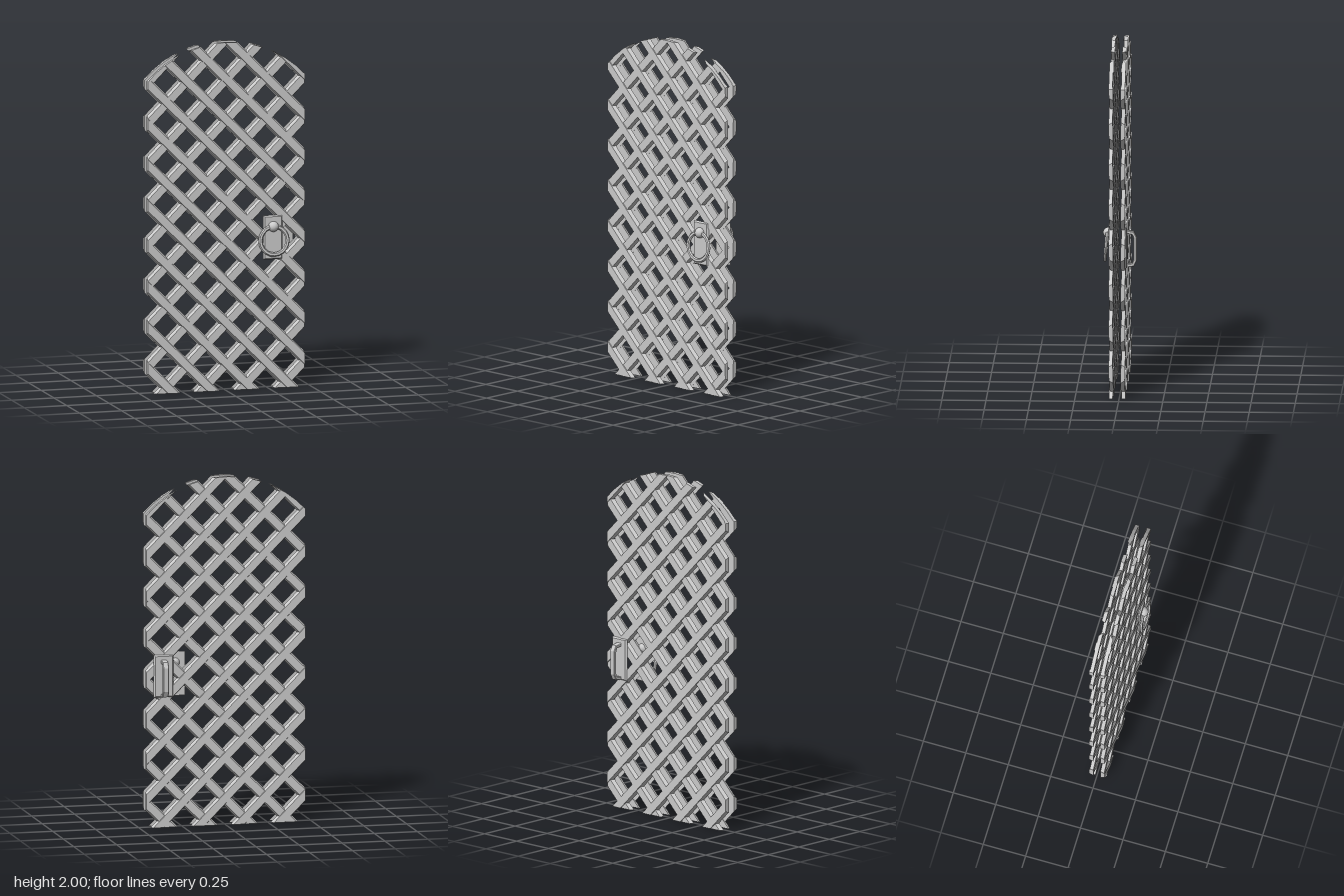
import * as THREE from 'three';
import { ConvexGeometry } from 'three/addons/geometries/ConvexGeometry.js';

const HALF_W = 0.463, ARCH_R = 0.629, TOP = 2;
const PITCH = 0.2335, WIDE = 0.062, NARROW = 0.044;
const MIRROR_Z = 0.0115; // plane halfway between the two lattice panels

const material = new THREE.MeshStandardMaterial({ color: 0xcccccc, flatShading: true, side: THREE.DoubleSide });
const smooth = new THREE.MeshStandardMaterial({ color: 0xcccccc });

function add(parent, name, geometry, mat = material) {
  const mesh = new THREE.Mesh(geometry, mat);
  mesh.name = name;
  parent.add(mesh);
  return mesh;
}

// Arched door outline, counter-clockwise
function outline() {
  const pts = [[-HALF_W, 0], [HALF_W, 0]];
  const a = Math.asin(HALF_W / ARCH_R);
  for (let i = 0; i <= 14; i++) {
    const t = a - (2 * a * i) / 14;
    pts.push([ARCH_R * Math.sin(t), TOP - ARCH_R + ARCH_R * Math.cos(t)]);
  }
  return pts;
}

// Keep the part of a polygon where nx*x + ny*y <= d
function clip(poly, nx, ny, d) {
  const out = [];
  poly.forEach((p, i) => {
    const q = poly[(i + 1) % poly.length];
    const a = nx * p[0] + ny * p[1] - d, b = nx * q[0] + ny * q[1] - d;
    if (a <= 0) out.push(p);
    if (a * b < 0) {
      const t = a / (a - b);
      out.push([p[0] + t * (q[0] - p[0]), p[1] + t * (q[1] - p[1])]);
    }
  });
  return out;
}

// Solid between one outline at z0 and another at z1
function frustum(base, z0, face, z1) {
  return new ConvexGeometry([
    ...base.map(p => new THREE.Vector3(p[0], p[1], z0)),
    ...face.map(p => new THREE.Vector3(p[0], p[1], z1)),
  ]);
}

function rect(x, y, w, h) {
  return [[x - w / 2, y - h / 2], [x + w / 2, y - h / 2], [x + w / 2, y + h / 2], [x - w / 2, y + h / 2]];
}

// One panel of crossed, bevelled slats trimmed to the arch
function lattice(name, toZ) {
  const group = new THREE.Group();
  group.name = name;
  const door = outline(), r = Math.SQRT1_2;
  const directions = [
    { sx: 1, start: -0.31, z0: 0.036, z1: 0.058, label: 'fallingSlat' },
    { sx: -1, start: 0.38, z0: 0.032, z1: 0.054, label: 'risingSlat' },
  ];
  for (const { sx, start, z0, z1, label } of directions) {
    const strip = (c, w) => clip(clip(door, sx * r, r, c * r + w / 2), -sx * r, -r, -c * r + w / 2);
    for (let k = -4; k < 12; k++) {
      const c = start + k * PITCH;
      const base = strip(c, WIDE), face = strip(c, NARROW);
      if (base.length > 2 && face.length > 2) add(group, label, frustum(base, toZ(z0), face, toZ(z1)));
    }
  }
  return group;
}

export function createModel() {
  const model = new THREE.Group();
  model.name = 'latticeDoor';
  model.add(lattice('frontLattice', z => z));
  model.add(lattice('backLattice', z => 2 * MIRROR_Z - z));

  // Front ring pull
  const pull = new THREE.Group();
  pull.name = 'ringPull';
  model.add(pull);
  const px = 0.275;
  add(pull, 'frontPlate', frustum(rect(px, 0.867, 0.116, 0.254), 0.054, rect(px, 0.867, 0.1, 0.238), 0.064));
  const ring = add(pull, 'ring', new THREE.TorusGeometry(0.08, 0.0125, 6, 20));
  ring.position.set(px, 0.852, 0.079);
  ring.rotation.x = -0.08;
  ring.scale.z = 0.75;
  const knob = add(pull, 'knob', new THREE.SphereGeometry(0.03, 16, 10), smooth);
  knob.position.set(px, 0.93, 0.067);

  // Rear grip
  const grip = new THREE.Group();
  grip.name = 'rearHandle';
  model.add(grip);
  const gx = 0.363;
  add(grip, 'rearPlate', frustum(rect(gx, 0.87, 0.114, 0.245), -0.033, rect(gx, 0.87, 0.098, 0.229), -0.042));

  // Bent bar: outer bracket then inner bracket, in (z, y)
  const bar = new THREE.Shape([
    [-0.035, 0.965], [-0.082, 0.957], [-0.098, 0.925], [-0.098, 0.79], [-0.082, 0.757], [-0.035, 0.75],
    [-0.035, 0.768], [-0.072, 0.774], [-0.08, 0.795], [-0.08, 0.92], [-0.072, 0.94], [-0.035, 0.947],
  ].map(p => new THREE.Vector2(-p[0], p[1])));
  const barGeometry = new THREE.ExtrudeGeometry(bar, {
    depth: 0.027, bevelEnabled: true, bevelThickness: 0.004, bevelSize: 0.003, bevelOffset: -0.003, bevelSegments: 1,
  });
  barGeometry.translate(0, 0, -0.0135).rotateY(Math.PI / 2);
  add(grip, 'gripBar', barGeometry).position.x = gx;

  return model;
}
